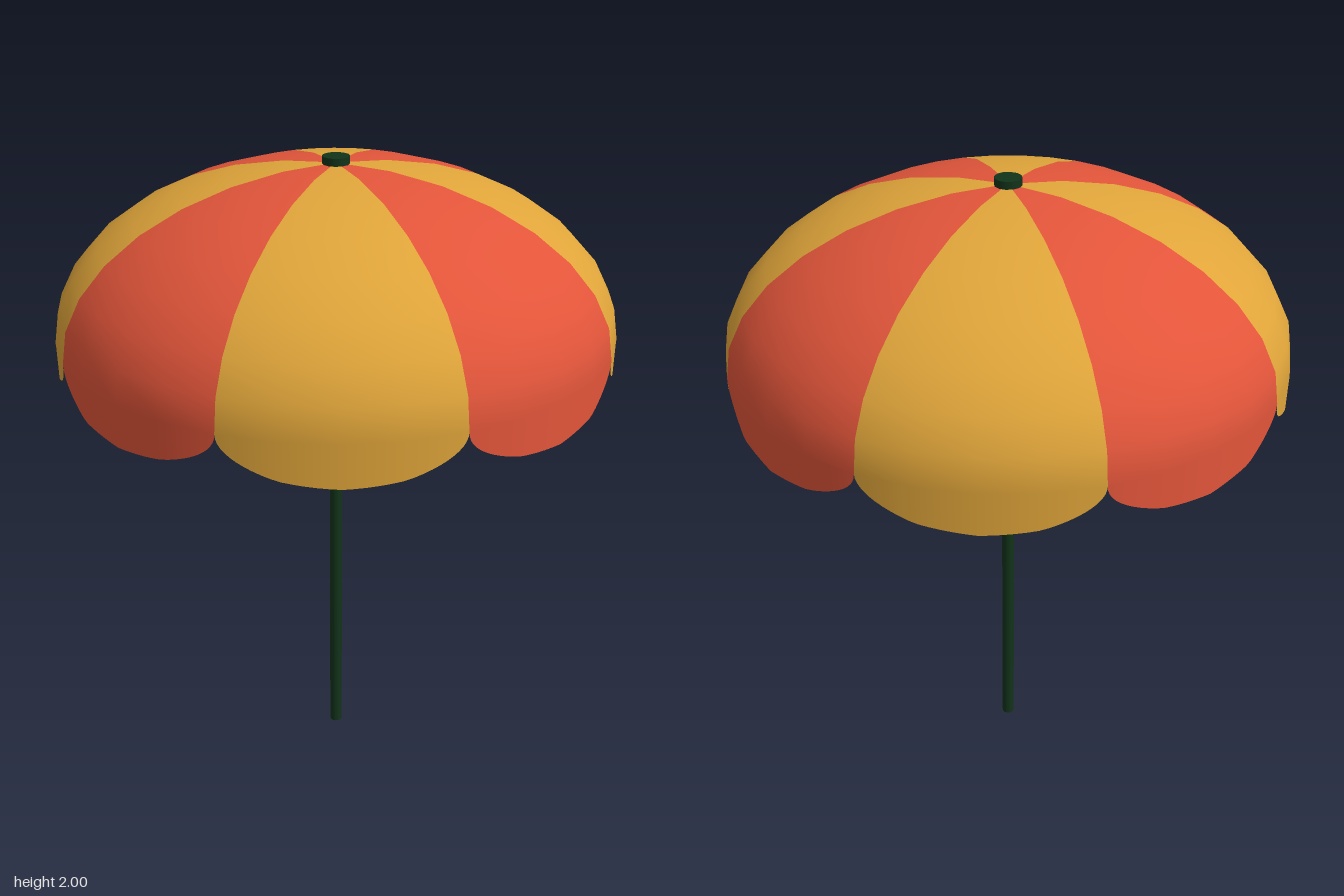
import * as THREE from 'three';
import { mergeGeometries } from 'three/addons/utils/BufferGeometryUtils.js';

const RADIUS = 0.83, RIM_Y = 1.5, DOME_HEIGHT = 0.48, SCALLOP_DEPTH = 0.125;
const PANELS = 8, FACETS = 4; // facets across one panel
const PANEL_ANGLE = (Math.PI * 2) / PANELS;

// Dome part of one panel; angles are measured from +z towards +x
function domeGeometry(start) {
  return new THREE.SphereGeometry(RADIUS, FACETS, 8, start + Math.PI / 2, PANEL_ANGLE, 0, Math.PI / 2)
    .scale(1, DOME_HEIGHT / RADIUS, 1)
    .translate(0, RIM_Y, 0);
}

// Hanging half-ellipse flap below the rim, following the faceted outline
function flapGeometry(start) {
  const geometry = new THREE.PlaneGeometry(1, 1, 32, 1);
  const { position, normal } = geometry.attributes;
  const step = PANEL_ANGLE / FACETS;
  for (let i = 0; i < position.count; i++) {
    const s = -Math.cos((position.getX(i) + 0.5) * Math.PI); // -1..1, denser near the notches
    const t = (s + 1) / 2;
    const facet = Math.min(Math.floor(t * FACETS + 1e-6), FACETS - 1);
    const f = t * FACETS - facet;
    const a = start + facet * step, b = a + step;
    const x = RADIUS * THREE.MathUtils.lerp(Math.sin(a), Math.sin(b), f);
    const z = RADIUS * THREE.MathUtils.lerp(Math.cos(a), Math.cos(b), f);
    const drop = position.getY(i) < 0 ? SCALLOP_DEPTH * Math.sqrt(Math.max(0, 1 - s * s)) : 0;
    position.setXYZ(i, x, RIM_Y - drop, z);
    const length = Math.hypot(x, z);
    normal.setXYZ(i, x / length, 0, z / length);
  }
  return geometry;
}

export function createModel() {
  const red = new THREE.MeshStandardMaterial({ color: 0xe2553a, side: THREE.DoubleSide });
  red.name = 'canopy red';
  const yellow = new THREE.MeshStandardMaterial({ color: 0xe0a53a, side: THREE.DoubleSide });
  yellow.name = 'canopy yellow';
  const green = new THREE.MeshStandardMaterial({ color: 0x12331a });
  green.name = 'dark green';

  const model = new THREE.Group();
  model.name = 'parasol';
  const add = (parent, name, geometry, material) => {
    const mesh = new THREE.Mesh(geometry, material);
    mesh.name = name;
    parent.add(mesh);
    return mesh;
  };

  // Canopy of alternating panels
  const canopy = new THREE.Group();
  canopy.name = 'canopy';
  model.add(canopy);
  for (let i = 0; i < PANELS; i++) {
    const start = Math.PI / 16 + i * PANEL_ANGLE;
    const panel = mergeGeometries([domeGeometry(start), flapGeometry(start)]);
    add(canopy, `panel${i + 1}`, panel, i % 2 ? red : yellow);
  }

  // Pole and top cap
  add(model, 'pole', new THREE.CylinderGeometry(0.02, 0.02, 1.97, 12), green).position.y = 0.985;
  add(model, 'topCap', new THREE.CylinderGeometry(0.04, 0.04, 0.035, 12), green).position.y = 1.9825;

  return model;
}
